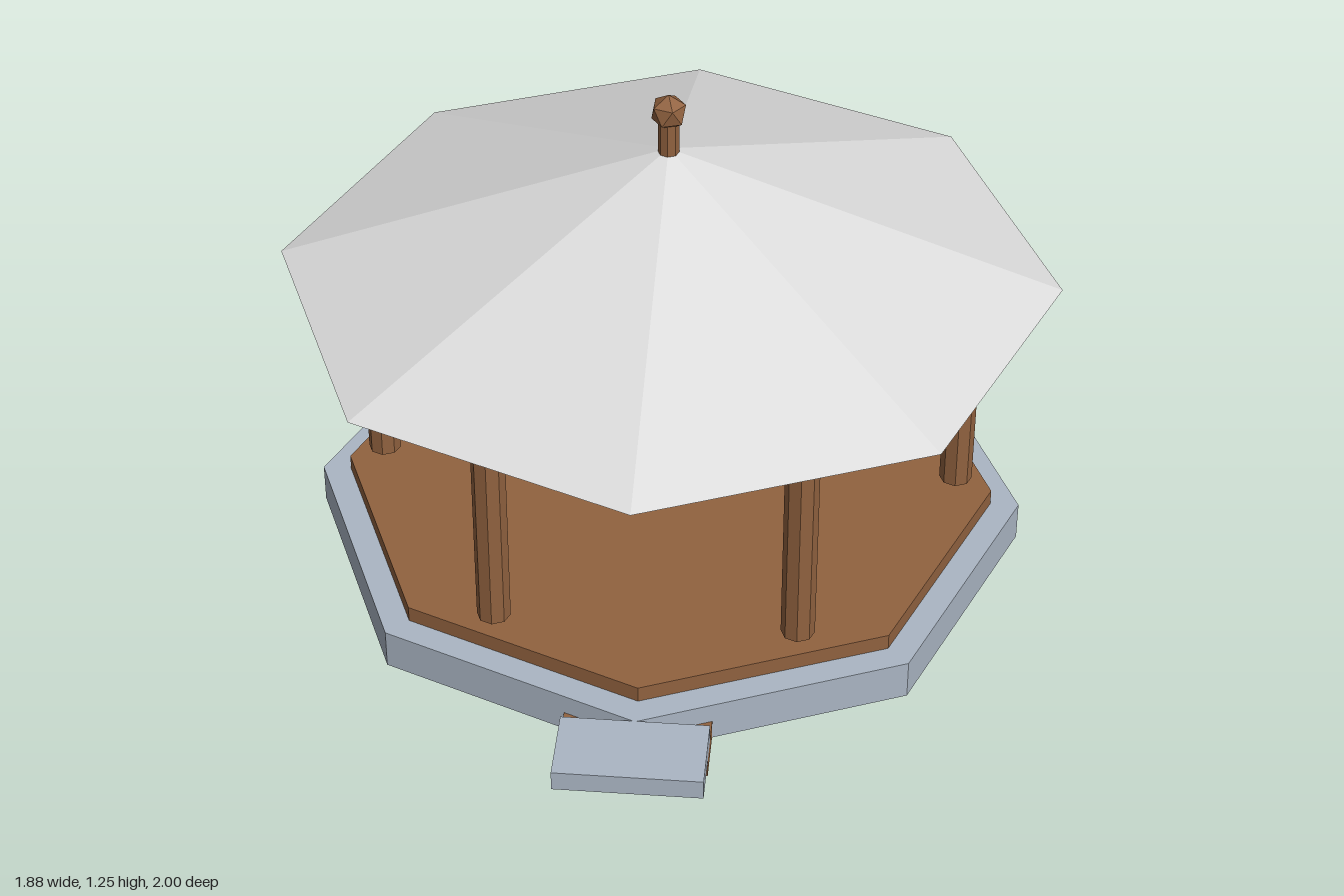
import * as THREE from 'three';

const mat = (name, color) => {
  const m = new THREE.MeshStandardMaterial({ color, flatShading: true });
  m.name = name;
  return m;
};

export function createModel() {
  const wood = mat('brown wood', 0x91623f);
  const stone = mat('blue grey stone', 0xabb6c4);
  const roofing = mat('pale grey roofing', 0xdcdcdc);

  const group = new THREE.Group();
  group.name = 'gazebo';
  const CZ = -0.06; // the pavilion sits behind the entrance step

  const add = (name, geometry, material, x, y, z) => {
    const m = new THREE.Mesh(geometry, material);
    m.name = name;
    m.position.set(x, y, z);
    group.add(m);
    return m;
  };
  // upright prism between two heights
  const prism = (name, r, y0, y1, sides, material, x = 0, z = CZ) =>
    add(name, new THREE.CylinderGeometry(r, r, y1 - y0, sides), material, x, (y0 + y1) / 2, z);
  // box between two heights and two depths, centred on x
  const slab = (name, w, y0, y1, z0, z1, material) =>
    add(name, new THREE.BoxGeometry(w, y1 - y0, z1 - z0), material, 0, (y0 + y1) / 2, (z0 + z1) / 2);

  // octagonal base and floor
  prism('base', 0.875, 0, 0.1, 8, stone);
  prism('floor', 0.805, 0.1, 0.14, 8, wood);

  // entrance steps
  slab('upperStep', 0.345, 0.05, 0.1, 0.813, 1, stone);
  slab('lowerStep', 0.345, 0.002, 0.05, 0.69, 0.875, wood);

  // six posts
  for (let i = 0; i < 6; i++) {
    const a = (i * Math.PI) / 3;
    prism('post', 0.04, 0.18, 0.71, 8, wood, 0.714 * Math.cos(a), CZ + 0.714 * Math.sin(a));
  }

  // ring beam under the eaves
  const beam = new THREE.TorusGeometry(0.707, 0.04, 4, 12).rotateX(Math.PI / 2);
  add('ringBeam', beam, wood, 0, 0.735, CZ);

  // roof
  add('roof', new THREE.ConeGeometry(0.938, 0.345, 8), roofing, 0, 0.9275, CZ);

  // finial: stem and faceted ball with one corner pointing up
  prism('finialStem', 0.025, 1.08, 1.18, 8, wood);
  const ball = new THREE.IcosahedronGeometry(0.045, 0).rotateZ(-Math.atan(2 / (1 + Math.sqrt(5))));
  add('finialBall', ball, wood, 0, 1.2, CZ);

  // hanging lantern and rod in the middle
  prism('lantern', 0.052, 0.505, 0.568, 6, stone);
  prism('lanternRod', 0.014, 0.232, 0.5, 6, stone);

  return group;
}
